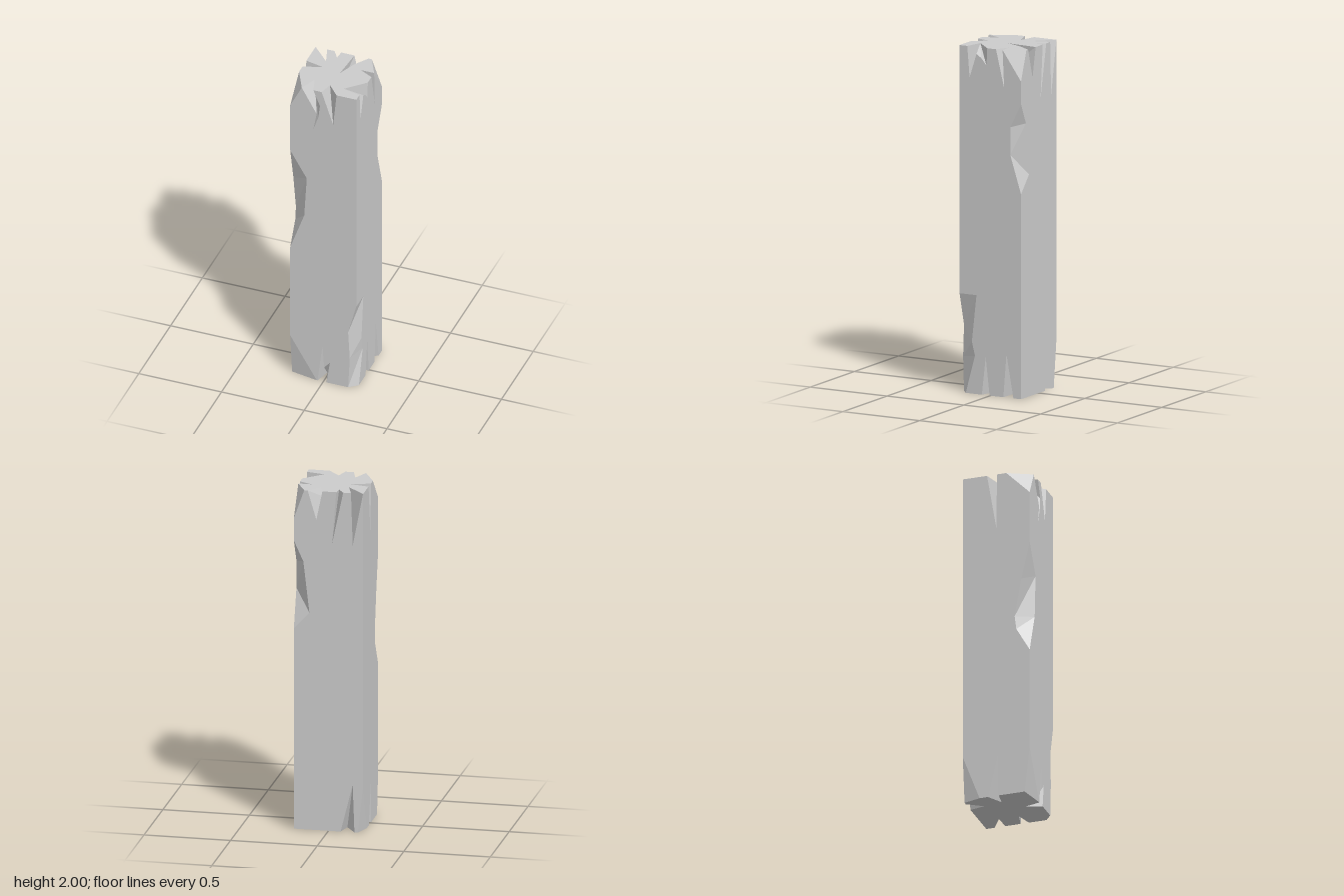
import * as THREE from 'three';

const H = 0.2, TOP = 2;

// Side faces in order front, right, back, left; u runs left to right seen from outside
const toWorld = [
  (u, y) => new THREE.Vector3(u, y, H),
  (u, y) => new THREE.Vector3(H, y, -u),
  (u, y) => new THREE.Vector3(-u, y, -H),
  (u, y) => new THREE.Vector3(-H, y, u),
];

// Splits in the end grain: path is [u, y] on the side face, inner is [x, z] on the end
const topSplits = [
  [ // front
    { path: [[-0.13, 2], [-0.04, 1.84], [-0.06, 1.73], [-0.03, 1.82], [-0.02, 1.9], [-0.06, 2]], inner: [[-0.09, 0.1]] },
    { path: [[-0.01, 2], [0.06, 1.79], [0.08, 2]], inner: [[0.01, 0.12]] },
  ],
  [ // right
    { path: [[-0.15, 2], [-0.135, 1.82], [-0.09, 1.96], [-0.06, 1.94], [-0.025, 1.9], [-0.02, 2]], inner: [[0.095, 0.125], [0.09, 0.06]] },
    { path: [[0.037, 2], [0.09, 1.78], [0.08, 2]], inner: [[0.12, -0.08]] },
  ],
  [ // back
    { path: [[-0.12, 2], [-0.07, 1.83], [-0.035, 2]], inner: [[0.065, -0.12], [0.02, -0.01], [-0.035, -0.08]], floor: [0.02, 1.93, -0.105] },
    { path: [[0.045, 2], [0.02, 1.69], [0.085, 2]], inner: [[-0.05, -0.145]] },
    { path: [[0.13, 2], [0.14, 1.69], [0.2, 2]], inner: [[-0.095, -0.09], [-0.15, -0.135]] },
  ],
  [ // left
    { path: [[-0.055, 2], [0, 1.67], [0.005, 2]], inner: [[-0.09, -0.03], [-0.045, -0.005]] },
  ],
];
const bottomSplits = [
  [{ path: [[-0.035, 0], [-0.005, 0.25], [0.005, 0.1], [0.04, 0.14], [0.02, 0]], inner: [[-0.01, 0.11]] }],
  [
    { path: [[-0.055, 0], [-0.03, 0.22], [-0.005, 0]], inner: [[0.1, 0.03]] },
    { path: [[0.085, 0], [0.105, 0.25], [0.15, 0]], inner: [[0.1, -0.09]] },
  ],
  [{ path: [[0.07, 0], [0.14, 0.28], [0.15, 0]], inner: [[-0.09, -0.11]] }],
  [{ path: [[-0.05, 0], [0.01, 0.26], [0.015, 0]], inner: [[-0.11, 0]] }],
];

// Chips on the upright edges, bottom to top: a lies on face i, b on face i + 1
const edgeChips = [
  [{ a: [[0.15, 0], [0.16, 0.2], [0.15, 0.38], [0.2, 0.57]], b: [[-0.16, 0], [-0.1, 0.22], [-0.12, 0.3], [-0.09, 0.57], [-0.2, 0.57]] }],
  [
    { a: [[0.2, 1.18], [0.13, 1.4], [0.13, 1.56], [0.2, 1.7]], b: [[-0.2, 1.18], [-0.11, 1.28], [-0.145, 1.58], [-0.2, 1.7]] },
    { a: [[0.2, 1.83], [0.08, 2]], b: [[-0.2, 1.83], [-0.14, 2]] },
  ],
  [{ a: [[0.17, 0], [0.2, 0.27]], b: [[-0.1, 0], [-0.2, 0.27]] }],
  [
    { a: [[0.17, 0], [0.2, 0.27]], b: [[-0.04, 0], [-0.2, 0.27]] },
    { a: [[0.2, 0.88], [0.12, 1.02], [0.11, 1.1], [0.15, 1.33], [0.2, 1.55]], b: [[-0.2, 0.88], [-0.14, 1.05], [-0.115, 1.12], [-0.1, 1.38], [-0.2, 1.55]] },
    { a: [[0.2, 1.86], [0.06, 2]], b: [[-0.2, 1.86], [-0.13, 2]] },
  ],
];

// Full upright outline of one face along an edge, bottom to top
function edgePath(corner, key) {
  const u = key === 'a' ? H : -H;
  const pts = edgeChips[corner].flatMap((c) => c[key]);
  if (pts[0][1] > 0) pts.unshift([u, 0]);
  if (pts[pts.length - 1][1] < TOP) pts.push([u, TOP]);
  return pts;
}

function createMesh(name, build) {
  const pos = [];
  const tri = (a, b, c, flip) => {
    for (const p of flip ? [a, c, b] : [a, b, c]) pos.push(p.x, p.y, p.z);
  };
  build(tri);
  const geo = new THREE.BufferGeometry();
  geo.setAttribute('position', new THREE.Float32BufferAttribute(pos, 3));
  geo.computeVertexNormals();
  const mesh = new THREE.Mesh(geo, new THREE.MeshStandardMaterial({ color: 0xcccccc, flatShading: true }));
  mesh.name = name;
  return mesh;
}

// Fill a flat outline; place turns its 2D points into 3D
function fill(tri, outline, place, flip = false) {
  const pts = outline
    .filter((p, i) => {
      const q = outline[(i + 1) % outline.length];
      return Math.hypot(p[0] - q[0], p[1] - q[1]) > 1e-6;
    })
    .map((p) => new THREE.Vector2(p[0], p[1]));
  for (const [i, j, k] of THREE.ShapeUtils.triangulateShape(pts, [])) {
    const clockwise = THREE.ShapeUtils.area([pts[i], pts[j], pts[k]]) < 0;
    tri(place(pts[i]), place(pts[j]), place(pts[k]), clockwise !== flip);
  }
}

// Facets between two polylines
function zip(tri, p, q, flip = false) {
  let i = 0, j = 0;
  const n = p.length - 1, m = q.length - 1;
  while (i < n || j < m) {
    if (j === m || (i < n && (i + 1) / n <= (j + 1) / m)) {
      tri(p[i], p[i + 1], q[j], flip);
      i++;
    } else {
      tri(p[i], q[j + 1], q[j], flip);
      j++;
    }
  }
}

// Outline of an end, following its splits
function endOutline(splits, atTop) {
  const out = [];
  const end = (path) => (atTop ? path[path.length - 1] : path[0]);
  toWorld.forEach((place, f) => {
    const add = (p) => {
      const v = place(...p);
      out.push([v.x, -v.z]);
    };
    add(end(edgePath((f + 3) % 4, 'b')));
    for (const s of splits[f]) {
      add(s.path[0]);
      s.inner.forEach(([x, z]) => out.push([x, -z]));
      add(s.path[s.path.length - 1]);
    }
    add(end(edgePath(f, 'a')));
  });
  return out;
}

export function createModel() {
  const group = new THREE.Group();
  group.name = 'weatheredBeam';

  // Four long sides
  ['frontSide', 'rightSide', 'backSide', 'leftSide'].forEach((name, f) => {
    group.add(createMesh(name, (tri) => {
      const outline = [
        ...bottomSplits[f].flatMap((s) => s.path),
        ...edgePath(f, 'a'),
        ...topSplits[f].flatMap((s) => s.path).reverse(),
        ...edgePath((f + 3) % 4, 'b').reverse(),
      ];
      fill(tri, outline, (p) => toWorld[f](p.x, p.y));
    }));
  });

  // Ends and the walls of their splits
  for (const [name, splits, y] of [['top', topSplits, TOP], ['bottom', bottomSplits, 0]]) {
    const under = y === 0;
    group.add(createMesh(name + 'End', (tri) => {
      fill(tri, endOutline(splits, !under), (p) => new THREE.Vector3(p.x, y, -p.y), under);
    }));
    group.add(createMesh(name + 'Splits', (tri) => {
      splits.forEach((list, f) => list.forEach((s) => {
        const path = s.path.map((p) => toWorld[f](...p));
        const inner = s.inner.map(([x, z]) => new THREE.Vector3(x, y, z));
        if (s.floor) {
          const floor = [path[0], new THREE.Vector3(...s.floor), path[path.length - 1]];
          zip(tri, path, floor, under);
          zip(tri, floor, inner, under);
        } else zip(tri, path, inner, under);
      }));
    }));
  }

  // Broken edges
  group.add(createMesh('edgeChips', (tri) => {
    edgeChips.forEach((chips, i) => chips.forEach(({ a, b }) => {
      zip(tri, b.map((p) => toWorld[(i + 1) % 4](...p)), a.map((p) => toWorld[i](...p)));
    }));
  }));
  return group;
}
